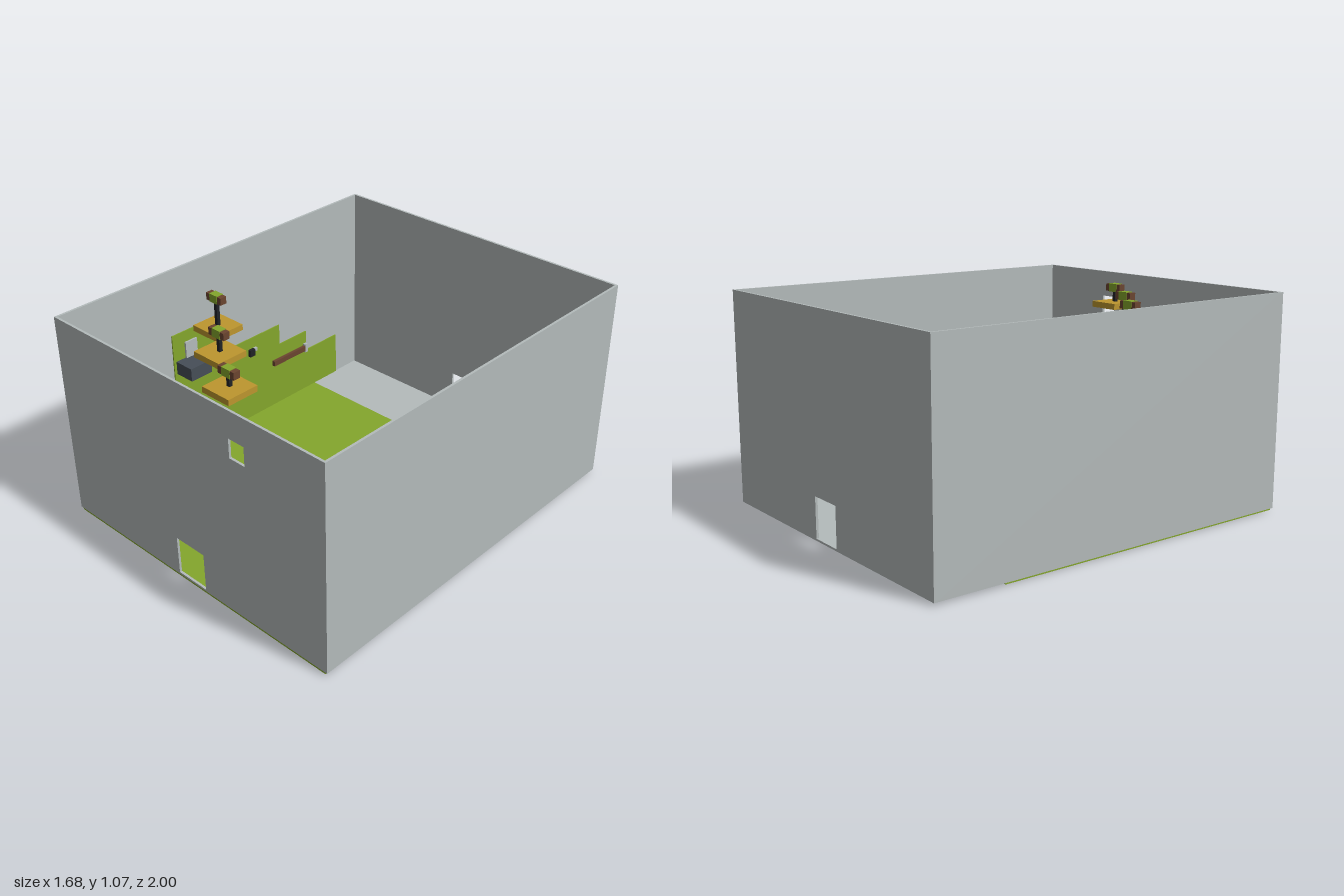
import * as THREE from 'three';

const paint = (name, color) => {
  const m = new THREE.MeshStandardMaterial({ color });
  m.name = name;
  return m;
};

export function createModel() {
  const grey = paint('wallGrey', 0xb4bbbb);
  const green = paint('grassGreen', 0x84a62c);
  const gold = paint('goldenWood', 0xbd962e);
  const slate = paint('slate', 0x464e57);
  const brown = paint('brownWood', 0x6b4530);
  const black = paint('blackMetal', 0x202226);

  const model = new THREE.Group();
  model.name = 'openRoom';

  // Box given by its [min, max] on each axis
  const box = (name, mat, [x0, x1], [y0, y1], [z0, z1], parent = model) => {
    const mesh = new THREE.Mesh(new THREE.BoxGeometry(x1 - x0, y1 - y0, z1 - z0), mat);
    mesh.position.set((x0 + x1) / 2, (y0 + y1) / 2, (z0 + z1) / 2);
    mesh.name = name;
    parent.add(mesh);
  };

  const rect = (Type, x0, x1, y0, y1) => new Type([
    new THREE.Vector2(x0, y0), new THREE.Vector2(x1, y0),
    new THREE.Vector2(x1, y1), new THREE.Vector2(x0, y1),
  ]);

  // Wall with rectangular openings, extruded along z
  const pierced = (name, z0, openings) => {
    const shape = rect(THREE.Shape, -0.84, 0.84, 0.012, 1.07);
    openings.forEach((o) => shape.holes.push(rect(THREE.Path, ...o)));
    const geo = new THREE.ExtrudeGeometry(shape, { depth: 0.012, bevelEnabled: false });
    const mesh = new THREE.Mesh(geo, grey);
    mesh.position.z = z0;
    mesh.name = name;
    model.add(mesh);
  };

  // Floors
  box('grassFloor', green, [-0.828, 0.828], [0, 0.016], [-0.64, 0.997]);
  box('backFloor', grey, [-0.828, 0.828], [0.008, 0.015], [-0.99, -0.64]);

  // Walls
  const door = [-0.09, 0.09, 0.022, 0.22];
  pierced('frontWall', 0.988, [door, [0.305, 0.395, 0.84, 0.935]]);
  pierced('backWall', -1, [door]);
  for (const s of [-1, 1]) {
    const xs = s < 0 ? [-0.84, -0.828] : [0.828, 0.84];
    box(s < 0 ? 'rightWall' : 'leftWall', grey, xs, [0.012, 1.07], [-0.988, 0.988]);
  }

  // Green board below the window
  box('windowBoard', green, [0.305, 0.395], [0.7, 0.83], [0.975, 0.987]);

  // Stepped green boards on the right wall: z range and top height
  [
    [-0.82, -0.575, 0.26], [-0.575, -0.37, 0.38],
    [-0.37, 0.06, 0.5], [0.06, 0.365, 0.72],
  ].forEach(([z0, z1, top], i) =>
    box(`wallBoard${i + 1}`, green, [-0.828, -0.822], [0.016, top], [z0, z1]));

  // Fittings hung on the boards
  box('basin', slate, [-0.822, -0.71], [0.5, 0.57], [0.215, 0.35]);
  box('basinBack', grey, [-0.822, -0.812], [0.57, 0.66], [0.215, 0.29]);
  box('toolHandle', brown, [-0.82, -0.803], [0.27, 0.3], [-0.55, -0.31]);
  box('toolHead', grey, [-0.82, -0.803], [0.26, 0.31], [-0.57, -0.55]);
  box('hookPlate', grey, [-0.82, -0.808], [0.42, 0.44], [-0.19, -0.17]);
  box('hook', black, [-0.82, -0.803], [0.4, 0.44], [-0.17, -0.135]);

  // Raised platforms, each with a post and a banded crossbar
  [[-0.512, 0.885, 0.325], [-0.247, 0.935, 0.546], [0.038, 0.958, 0.746]]
    .forEach(([x, top, z], i) => {
      const g = new THREE.Group();
      g.name = `platform${i + 1}`;
      g.position.set(x, 0, z);
      model.add(g);
      box('deck', gold, [-0.083, 0.083], [top - 0.03, top], [-0.083, 0.083], g);
      box('post', black, [-0.009, 0.009], [top, 1.012], [-0.009, 0.009], g);
      box('barMiddle', green, [-0.026, 0.026], [1.008, 1.05], [-0.02, 0.02], g);
      for (const s of [-1, 1]) {
        box('barEnd', brown, s < 0 ? [-0.05, -0.026] : [0.026, 0.05],
          [1.01, 1.047], [-0.018, 0.018], g);
      }
    });

  return model;
}
